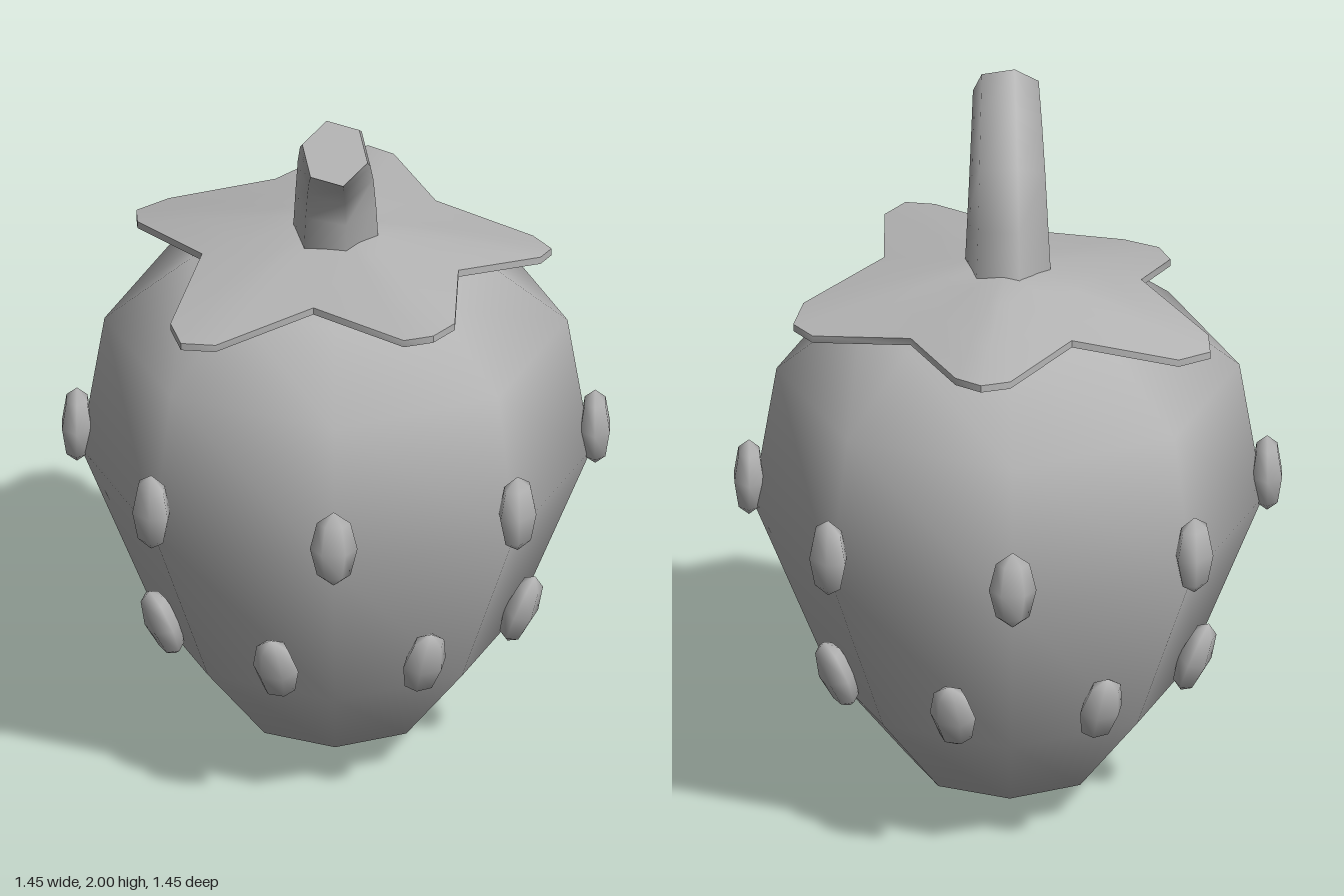
import * as THREE from 'three';
import { toCreasedNormals } from 'three/addons/utils/BufferGeometryUtils.js';

const grey = new THREE.MeshStandardMaterial({ color: 0xb5b5b5 });
grey.name = 'plain grey';

function addMesh(parent, name, geometry) {
  const mesh = new THREE.Mesh(geometry, grey);
  mesh.name = name;
  parent.add(mesh);
  return mesh;
}

// Eight-sided tapering fruit, smooth shaded
function berryGeometry() {
  const profile = [[0, 0.01], [0.265, 0.125], [0.475, 0.38], [0.675, 0.88], [0.612, 1.27], [0.385, 1.45], [0, 1.53]];
  return new THREE.LatheGeometry(profile.map(([r, y]) => new THREE.Vector2(r, y)), 8);
}

// Five-lobed leaf cap: rings scaled in from the rim, top then underside
function leafCapGeometry() {
  const rim = [ // x, y, z anticlockwise from the front lobe
    [0, 1.415, 0.575], [0.085, 1.425, 0.53], [0.21, 1.495, 0.29],
    [0.5, 1.49, 0.24], [0.55, 1.5, 0.18], [0.54, 1.5, 0.09], [0.35, 1.51, -0.11],
    [0.385, 1.46, -0.38], [0.345, 1.44, -0.46], [0.26, 1.44, -0.475], [0, 1.485, -0.37],
    [-0.255, 1.49, -0.465], [-0.335, 1.49, -0.45], [-0.375, 1.49, -0.38], [-0.35, 1.51, -0.12],
    [-0.55, 1.45, 0.08], [-0.57, 1.445, 0.18], [-0.51, 1.455, 0.235], [-0.21, 1.495, 0.29],
    [-0.085, 1.425, 0.53],
  ];
  const rings = [[0, 0], [0.35, 0], [0.7, 0], [1, 0], [1, -0.02], [0.7, -0.02], [0.35, -0.02], [0, -0.02]];
  const n = rim.length, pos = [], index = [];
  rings.forEach(([s, drop], j) => {
    rim.forEach(([x, y, z], i) => {
      pos.push(x * s, 1.575 + (y - 1.575) * s ** 1.2 + drop, z * s);
      if (j === 0) return;
      const k = (i + 1) % n, a = (j - 1) * n, b = j * n;
      index.push(a + i, b + i, b + k, a + i, b + k, a + k);
    });
  });
  const geometry = new THREE.BufferGeometry();
  geometry.setAttribute('position', new THREE.Float32BufferAttribute(pos, 3));
  geometry.setIndex(index);
  return toCreasedNormals(geometry, 0.8);
}

// Bent six-sided stalk, tapering to a flat end
function addStem(parent) {
  const stem = new THREE.Group();
  stem.name = 'stem';
  parent.add(stem);
  const path = new THREE.CatmullRomCurve3(
    [[0.02, 1.53], [0.045, 1.7], [0.11, 1.83], [0.225, 1.94]].map(([d, y]) => new THREE.Vector3(d, y, d)));
  const steps = 4, sides = 6, base = 0.118, tip = 0.09;
  const tube = new THREE.TubeGeometry(path, steps, base, sides);
  const p = tube.attributes.position, v = new THREE.Vector3();
  for (let i = 0; i < p.count; i++) {
    const t = Math.floor(i / (sides + 1)) / steps;
    const centre = path.getPointAt(t);
    v.fromBufferAttribute(p, i).sub(centre).multiplyScalar(1 + (tip / base - 1) * t).add(centre);
    p.setXYZ(i, v.x, v.y, v.z);
  }
  addMesh(stem, 'stalk', tube);

  // End cap fanned over the last ring
  const first = steps * (sides + 1), end = path.getPointAt(1), cap = [];
  for (let i = 0; i < sides; i++) {
    const a = new THREE.Vector3().fromBufferAttribute(p, first + i);
    const b = new THREE.Vector3().fromBufferAttribute(p, first + i + 1);
    const up = a.clone().sub(end).cross(b.clone().sub(end)).dot(path.getTangentAt(1)) > 0;
    for (const q of up ? [end, a, b] : [end, b, a]) cap.push(q.x, q.y, q.z);
  }
  const capGeometry = new THREE.BufferGeometry();
  capGeometry.setAttribute('position', new THREE.Float32BufferAttribute(cap, 3));
  capGeometry.computeVertexNormals();
  addMesh(stem, 'stalkEnd', capGeometry);
}

// A ring of eight raised seeds, leaning with the fruit's slope
function addSeeds(parent, name, y, radius, turn, tilt) {
  const ring = new THREE.Group();
  ring.name = name;
  parent.add(ring);
  const geometry = new THREE.SphereGeometry(1, 6, 4).scale(0.063, 0.11, 0.045);
  for (let i = 0; i < 8; i++) {
    const angle = turn + i * Math.PI / 4;
    const seed = addMesh(ring, 'seed', geometry);
    seed.position.set(Math.sin(angle) * radius, y, Math.cos(angle) * radius);
    seed.rotation.set(tilt, angle, 0, 'YXZ');
  }
}

export function createModel() {
  const model = new THREE.Group();
  model.name = 'strawberry';
  addMesh(model, 'berry', berryGeometry());
  addMesh(model, 'leafCap', leafCapGeometry());
  addStem(model);
  addSeeds(model, 'upperSeeds', 0.95, 0.685, 0, 0);
  addSeeds(model, 'lowerSeeds', 0.485, 0.515, -17.5 * Math.PI / 180, 0.36);
  return model;
}
